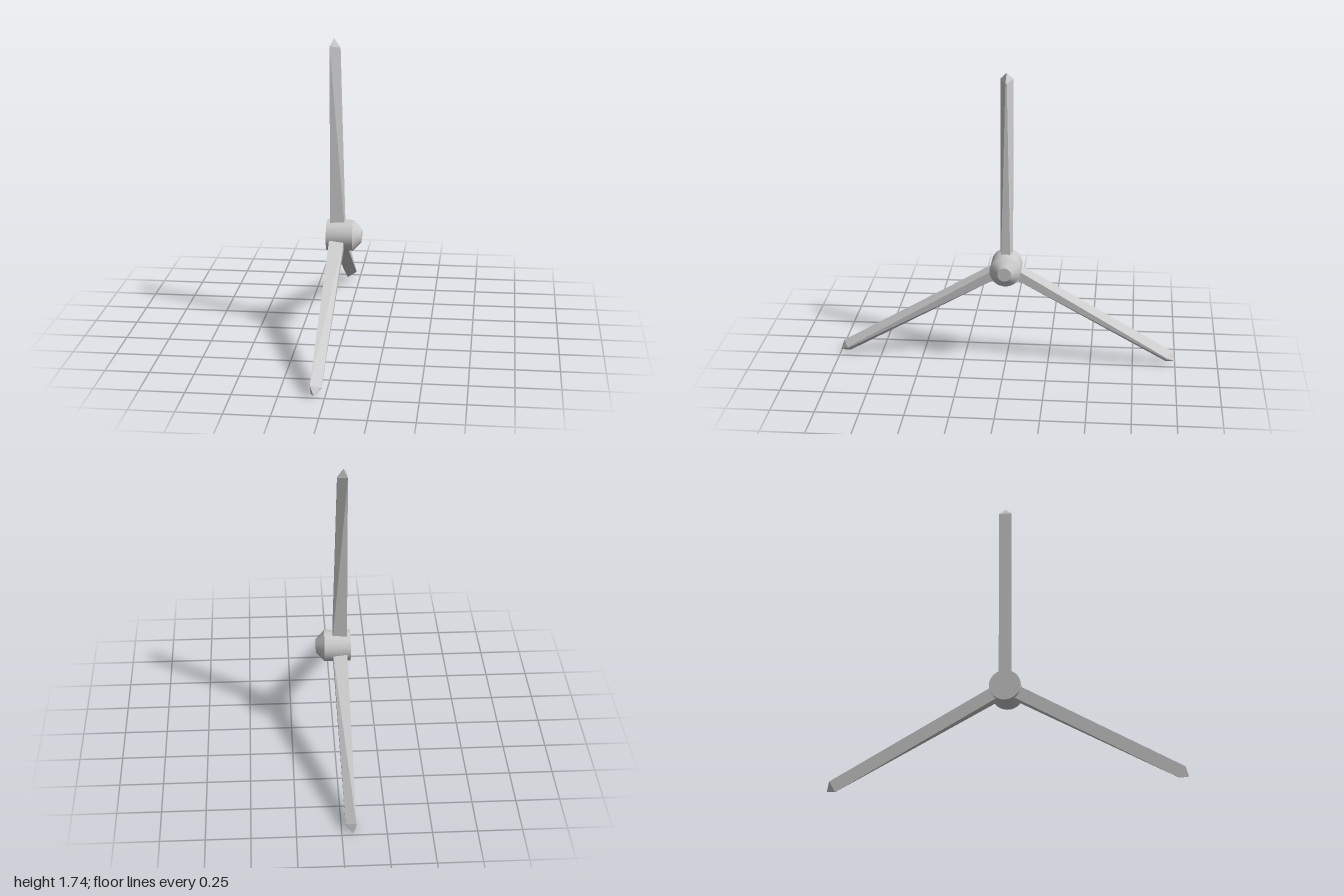
import * as THREE from 'three';

const material = new THREE.MeshStandardMaterial({ color: 0xcccccc });
const flatMaterial = new THREE.MeshStandardMaterial({ color: 0xcccccc, flatShading: true });

// Four corners of a blade section: wide flat back at x = -0.08, narrow front edge.
function section(y, frontX, backHalf, frontHalf) {
  return [
    [-0.08, y, -backHalf], [-0.08, y, backHalf],
    [frontX, y, frontHalf], [frontX, y, -frontHalf],
  ];
}

// Blade along +y: trapezoid root tapering to a near-triangular shoulder, then a pointed tip.
function bladeGeometry() {
  const root = section(0.06, 0.003, 0.037, 0.027);
  const shoulder = section(1.115, -0.022, 0.037, 0.004);
  shoulder[2][1] = shoulder[3][1] = 1.1;
  const apex = [-0.058, 1.154, 0];
  const points = [];
  for (let i = 0; i < 4; i++) {
    const j = (i + 1) % 4;
    // side panels split from the front of the root to the back of the shoulder
    if (i < 3) points.push(root[i], root[j], shoulder[i], root[j], shoulder[j], shoulder[i]);
    else points.push(root[i], root[j], shoulder[j], root[i], shoulder[j], shoulder[i]);
    points.push(shoulder[i], shoulder[j], apex);
  }
  points.push(root[0], root[2], root[1], root[0], root[3], root[2]);
  const geometry = new THREE.BufferGeometry();
  geometry.setAttribute('position', new THREE.Float32BufferAttribute(points.flat(), 3));
  geometry.computeVertexNormals();
  return geometry;
}

// Round hub part with its axis along x.
function hubPart(name, rBack, rFront, x0, x1) {
  const geometry = new THREE.CylinderGeometry(rFront, rBack, x1 - x0, 32);
  geometry.rotateZ(-Math.PI / 2).translate((x0 + x1) / 2, 0, 0);
  const mesh = new THREE.Mesh(geometry, material);
  mesh.name = name;
  return mesh;
}

export function createModel() {
  const model = new THREE.Group();
  model.name = 'rotor';

  const rotor = new THREE.Group();
  rotor.name = 'hubAndBlades';
  rotor.position.y = 0.59;
  model.add(rotor);

  // Hub drum and tapered nose
  rotor.add(hubPart('hub', 0.09, 0.09, -0.1, 0.052));
  rotor.add(hubPart('nose', 0.09, 0.04, 0.052, 0.1));

  // Three blades evenly spaced around the hub
  const geometry = bladeGeometry();
  for (let i = 0; i < 3; i++) {
    const blade = new THREE.Mesh(geometry, flatMaterial);
    blade.name = `blade${i + 1}`;
    blade.rotation.x = (i * 2 * Math.PI) / 3;
    rotor.add(blade);
  }
  return model;
}
